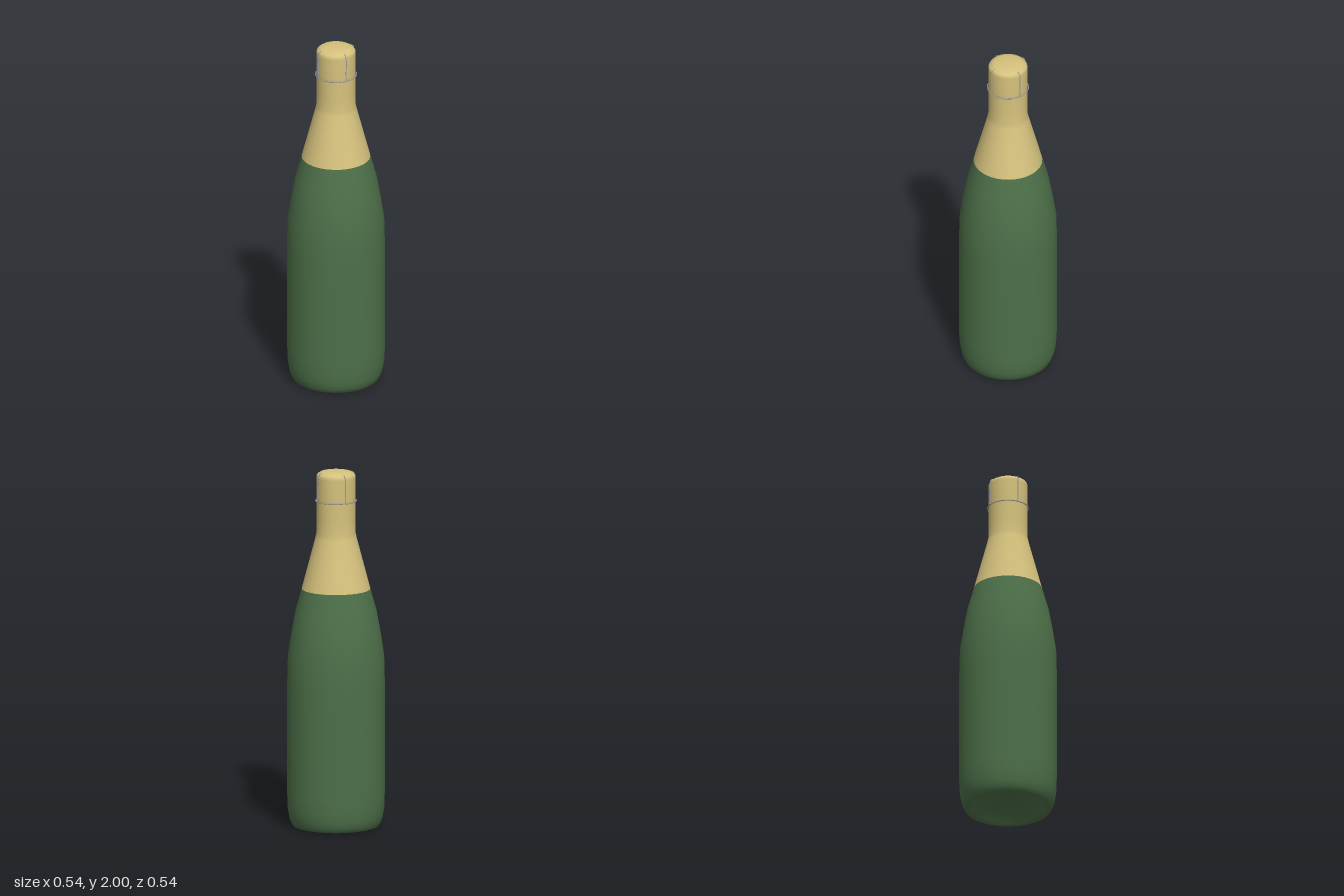
import * as THREE from 'three';

const SEGMENTS = 32;

export function createModel() {
  const group = new THREE.Group();
  const glass = new THREE.MeshStandardMaterial({ color: 0x4d7049, side: THREE.DoubleSide });
  const foil = new THREE.MeshStandardMaterial({ color: 0xd6c27d, side: THREE.DoubleSide });
  const metal = new THREE.MeshStandardMaterial({ color: 0xa0a0a0 });

  const add = (name, geometry, material) => {
    const mesh = new THREE.Mesh(geometry, material);
    mesh.name = name;
    group.add(mesh);
    return mesh;
  };
  const lathe = (points, segments = SEGMENTS) =>
    new THREE.LatheGeometry(points.map(([r, y]) => new THREE.Vector2(r, y)), segments);

  // Glass body, starting at the middle of the hollow base
  add('glassBody', lathe([
    [0, 0.14], [0.07, 0.13], [0.13, 0.1], [0.18, 0.055], [0.207, 0.01], [0.22, 0],
    [0.238, 0.005], [0.252, 0.03], [0.26, 0.06], [0.268, 0.11], [0.271, 0.2], [0.271, 0.8],
    [0.267, 0.96], [0.247, 1.09], [0.225, 1.21], [0.19, 1.335],
  ]), glass);

  // Foil over the shoulder and neck
  add('neckFoil', lathe([
    [0.19, 1.335], [0.15, 1.487], [0.115, 1.62], [0.109, 1.65], [0.107, 1.72], [0.107, 1.83],
  ]), foil);

  // Foil around the cork, with a rounded upper edge
  add('corkFoil', lathe([
    [0.107, 1.83], [0.109, 1.84], [0.109, 1.96], [0.107, 1.973], [0.102, 1.982], [0.094, 1.986],
  ]), foil);

  // Low domed cap on the cork
  add('capDisc', lathe([
    [0.095, 1.98], [0.094, 1.986], [0.085, 1.992], [0.06, 1.997], [0.03, 1.9995], [0, 2],
  ]), foil);

  // Wire cage: a ring round the neck and four uprights hooked over the edge
  const ring = add('cageRing', new THREE.TorusGeometry(0.114, 0.003, 6, 16), metal);
  ring.rotation.x = Math.PI / 2;
  ring.position.y = 1.83;

  const wirePath = new THREE.CatmullRomCurve3([
    [0.114, 1.83], [0.112, 1.87], [0.113, 1.95], [0.109, 1.978], [0.094, 1.988],
  ].map(([r, y]) => new THREE.Vector3(r, y, 0)));
  const wireGeometry = new THREE.TubeGeometry(wirePath, 16, 0.003, 6);
  for (let i = 0; i < 4; i++) {
    add('cageWire', wireGeometry, metal).rotation.y = Math.PI / 4 + (i * Math.PI) / 2;
  }

  return group;
}
